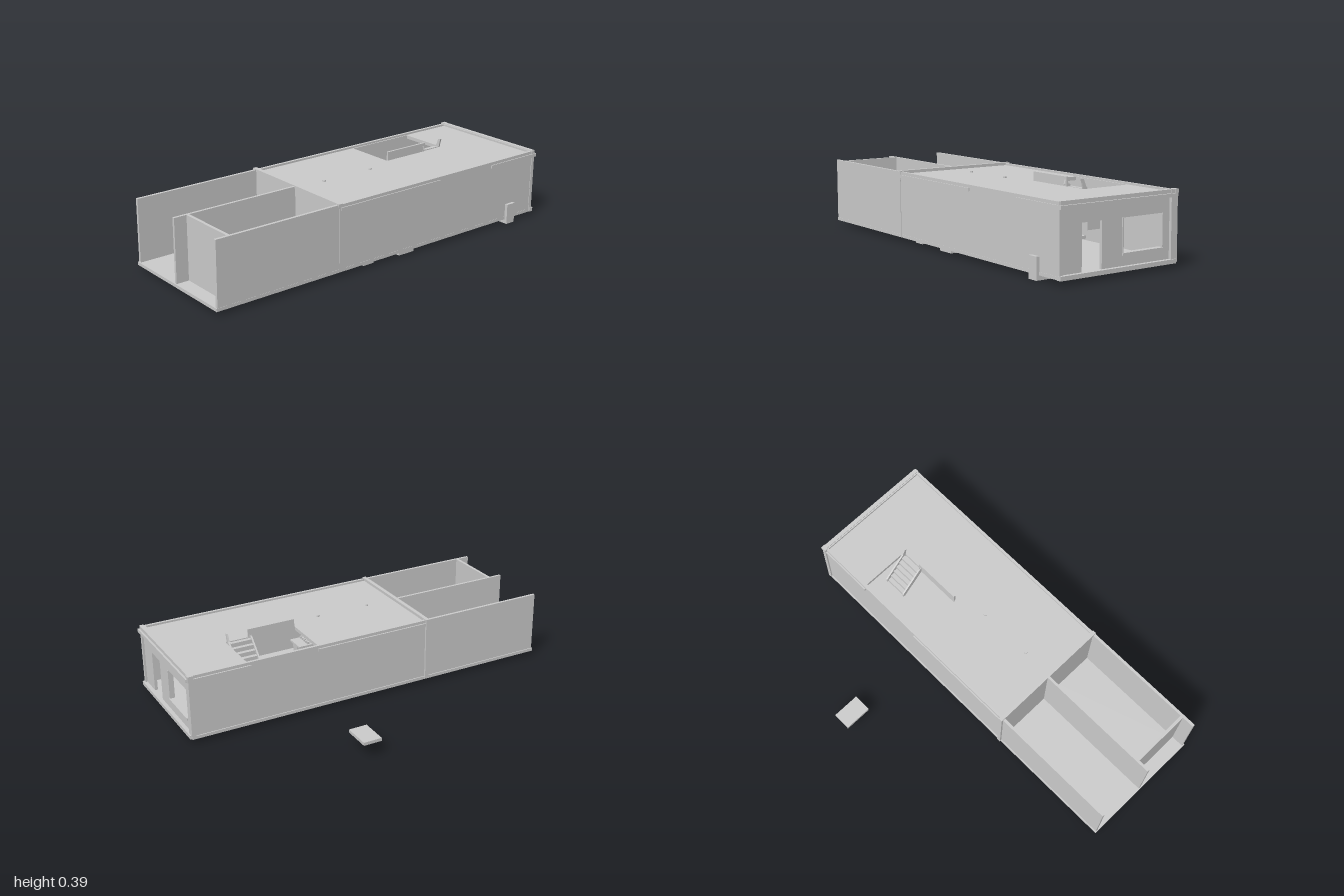
import * as THREE from 'three';

const mat = new THREE.MeshStandardMaterial({ color: 0xcccccc, flatShading: true, side: THREE.DoubleSide });

export function createModel() {
  const model = new THREE.Group();
  const add = (name, geo, parent = model) => {
    const m = new THREE.Mesh(geo, mat);
    m.name = name;
    parent.add(m);
    return m;
  };
  // box given by its limits on each axis
  const box = (name, x0, x1, y0, y1, z0, z1, parent) => {
    const m = add(name, new THREE.BoxGeometry(x1 - x0, y1 - y0, z1 - z0), parent);
    m.position.set((x0 + x1) / 2, (y0 + y1) / 2, (z0 + z1) / 2);
    return m;
  };
  const rectShape = (u0, u1, v0, v1, holes = []) => {
    const pts = (a, b, c, d) => [[a, c], [b, c], [b, d], [a, d]].map(p => new THREE.Vector2(...p));
    const s = new THREE.Shape(pts(u0, u1, v0, v1));
    for (const h of holes) s.holes.push(new THREE.Path(pts(...h).reverse()));
    return s;
  };
  const extrude = (shape, depth) => new THREE.ExtrudeGeometry(shape, { depth, bevelEnabled: false });
  // a (z, y) outline extruded along x
  const sideProfile = (name, pts, x0, x1, parent) => {
    const g = extrude(new THREE.Shape(pts.map(([z, y]) => new THREE.Vector2(-z, y))), x1 - x0);
    g.rotateY(Math.PI / 2);
    g.translate(x0, 0, 0);
    return add(name, g, parent);
  };

  // floor and long walls
  box('floor', -1, 0.99, 0.022, 0.038, -0.075, 0.585);
  box('frontWall', -0.995, 0.98, 0.025, 0.355, 0.57, 0.584);
  box('backWall', -0.995, 0.98, 0.025, 0.355, -0.07, -0.056);

  // unroofed bays
  const bays = new THREE.Group();
  bays.name = 'openBays';
  model.add(bays);
  box('middleWall', -0.995, -0.315, 0.038, 0.355, 0.245, 0.258, bays);
  box('crossWall', -0.93, -0.915, 0.038, 0.355, 0.258, 0.57, bays);
  box('partyWall', -0.322, -0.308, 0.038, 0.358, -0.06, 0.575, bays);

  // party wall cap and its posts on both long walls
  box('partyCap', -0.325, -0.305, 0.345, 0.36, -0.08, 0.588);
  box('partyPostBack', -0.325, -0.305, 0.025, 0.36, -0.08, -0.07);
  box('partyPostFront', -0.318, -0.31, 0.025, 0.355, 0.582, 0.587);

  // roof slab with the stair opening
  const roof = extrude(rectShape(-0.315, 0.98, -0.57, 0.06, [[0.3, 0.68, -0.21, 0.05]]), 0.018);
  roof.rotateX(-Math.PI / 2);
  roof.translate(0, 0.327, 0);
  add('roof', roof);
  for (const x of [-0.15, 0.14]) {
    const vent = add('roofVent', new THREE.CylinderGeometry(0.008, 0.008, 0.008, 8));
    vent.position.set(x, 0.349, 0.265);
  }

  // slab edges showing on both long walls, broken beside the stair
  for (const [x0, x1] of [[-0.31, 0.31], [0.67, 0.995]]) {
    box('slabEdgeFront', x0, x1, 0.325, 0.34, 0.58, 0.589);
    box('slabEdgeBack', x0, x1, 0.325, 0.34, -0.077, -0.066);
  }

  // end wall with door and window openings
  const endWall = extrude(rectShape(-0.57, 0.06, 0.038, 0.355,
    [[-0.46, -0.35, 0.042, 0.255], [-0.235, 0, 0.09, 0.255]]), 0.015);
  endWall.rotateY(Math.PI / 2);
  endWall.translate(0.963, 0, 0);
  add('endWall', endWall);

  // end wall trim
  box('endSill', 0.975, 0.998, 0.022, 0.042, -0.066, 0.589);
  box('endBand', 0.975, 1, 0.323, 0.34, -0.066, 0.589);
  box('endParapet', 0.97, 0.99, 0.34, 0.358, -0.07, 0.585);
  box('endCornerPostBack', 0.97, 0.992, 0.025, 0.355, -0.077, -0.04);
  box('endCornerPostFront', 0.97, 0.988, 0.025, 0.355, 0.57, 0.587);
  box('cornerCap', 0.965, 0.995, 0.34, 0.358, -0.08, -0.058);
  box('windowSill', 0.955, 0.985, 0.088, 0.1, 0, 0.235);
  box('windowJamb', 0.955, 0.982, 0.1, 0.255, 0.23, 0.237);

  // turning stair below the opening
  const stair = new THREE.Group();
  stair.name = 'stair';
  model.add(stair);
  const flight = (name, x0, x1, zA, yA, zB, yB, n) => {
    const pts = [[zA, yA]];
    for (let i = 0; i < n; i++) {
      const y = yA + (yB - yA) * (i + 1) / n;
      pts.push([zA + (zB - zA) * i / n, y], [zA + (zB - zA) * (i + 1) / n, y]);
    }
    pts.push([zB, yB - 0.02]);
    sideProfile(name, pts, x0, x1, stair);
  };
  flight('lowerFlight', 0.305, 0.42, 0.205, 0.1, 0.08, 0.215, 6);
  box('lowerLanding', 0.305, 0.545, 0.085, 0.1, 0.085, 0.205, stair);
  box('upperLanding', 0.305, 0.68, 0.2, 0.218, -0.05, 0.08, stair);
  box('landingBeam', 0.305, 0.55, 0.125, 0.2, 0, 0.08, stair);
  flight('upperFlight', 0.552, 0.664, 0.075, 0.218, 0.2, 0.345, 6);
  for (const x of [0.545, 0.667]) {
    const top = x > 0.6 ? 0.39 : 0.355;
    sideProfile('stairStringer',
      [[0.07, 0.205], [0.07, 0.24], [0.19, 0.355], [0.205, top], [0.22, top], [0.215, 0.375], [0.205, 0.33]],
      x, x + 0.008, stair);
  }
  box('stairParapet', 0.305, 0.56, 0.325, 0.39, 0.205, 0.215, stair);

  // cupboard, counter and bottles seen through the doorway
  const kitchen = new THREE.Group();
  kitchen.name = 'kitchenUnit';
  model.add(kitchen);
  box('cupboard', 0.1, 0.2, 0.038, 0.14, 0.4, 0.445, kitchen);
  box('counter', 0.09, 0.21, 0.14, 0.15, 0.35, 0.46, kitchen);
  box('shelf', 0.1, 0.18, 0.21, 0.217, 0.35, 0.46, kitchen);
  for (let i = 0; i < 5; i++) {
    const z = 0.365 + i * 0.02;
    const bottle = add('bottle', new THREE.CylinderGeometry(0.003, 0.007, 0.033, 8), kitchen);
    bottle.position.set(0.15, 0.233, z);
    box('cup', 0.145, 0.157, 0.15, 0.162, z - 0.005, z + 0.006, kitchen);
  }

  // marker post with its foot, and plates under the floor
  box('postPlate', 0.79, 0.845, 0, 0.105, 0.584, 0.6);
  box('postFoot', 0.79, 0.845, 0, 0.025, 0.525, 0.6);
  box('underPlateLong', 0.055, 0.15, 0.01, 0.025, 0.23, 0.585);
  box('underPlateShort', -0.17, -0.11, 0.016, 0.025, 0.45, 0.585);

  // detached slab behind the house
  box('detachedSlab', 0.258, 0.353, 0.074, 0.09, -0.6, -0.456);

  return model;
}
